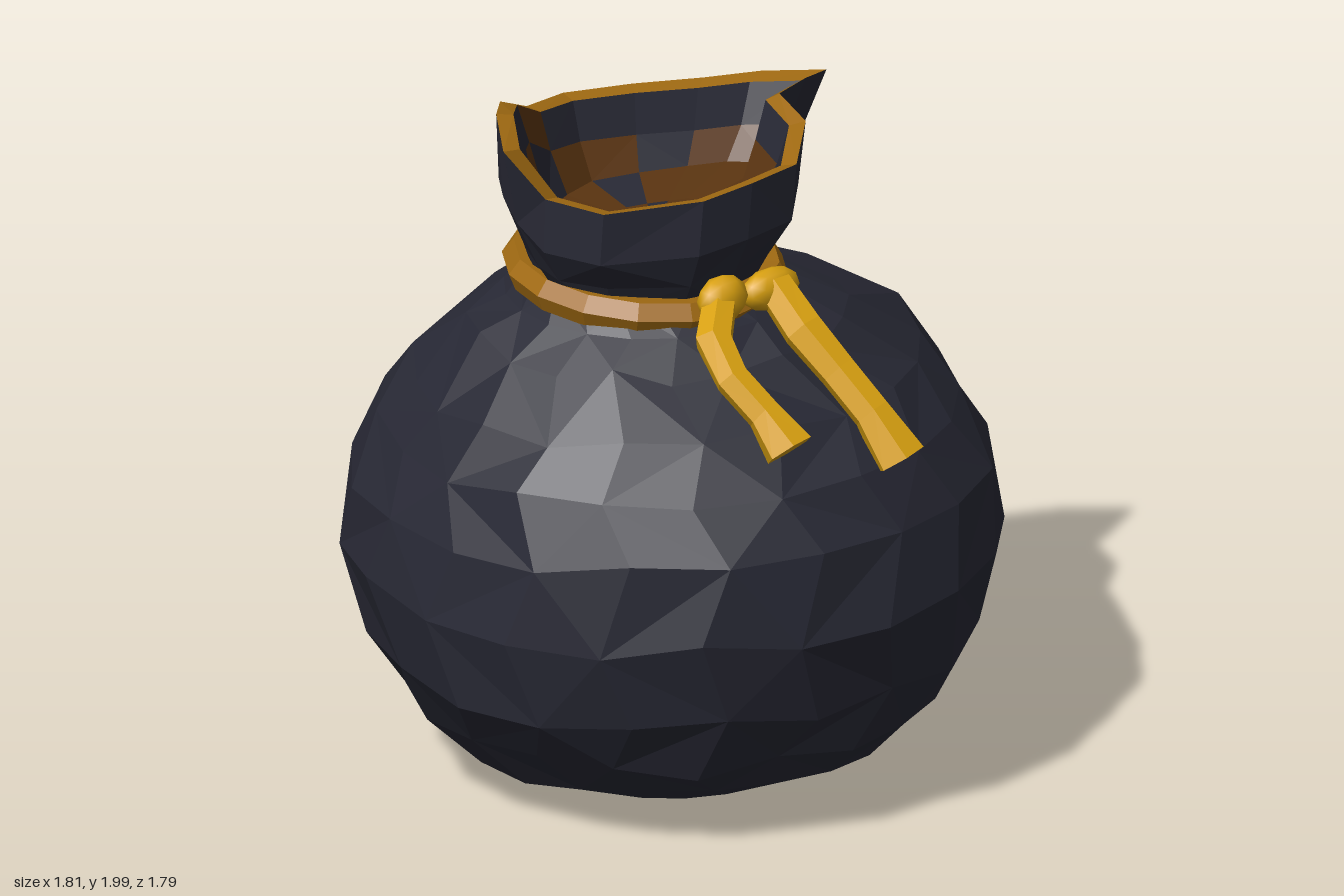
import * as THREE from 'three';

const mat = (name, color) => {
  const m = new THREE.MeshStandardMaterial({ color });
  m.name = name;
  return m;
};

let seed = 7;
const rand = () => (seed = (seed * 16807) % 2147483647) / 2147483647 - 0.5;

// Faceted skin over a list of closed rings; keep(i, j) picks the quads to build
function loft(rings, keep = () => true) {
  const pos = [];
  const n = rings[0].length;
  for (let i = 0; i < rings.length - 1; i++) {
    for (let j = 0; j < n; j++) {
      if (!keep(i, j)) continue;
      const k = (j + 1) % n;
      const a = rings[i][j], b = rings[i][k], c = rings[i + 1][k], d = rings[i + 1][j];
      const tris = (i + j) % 2 ? [a, b, c, a, c, d] : [a, b, d, b, c, d];
      tris.forEach((p) => pos.push(p.x, p.y, p.z));
    }
  }
  const g = new THREE.BufferGeometry();
  g.setAttribute('position', new THREE.Float32BufferAttribute(pos, 3));
  g.computeVertexNormals();
  return g;
}

// Faceted rope along a path, with one radius for each path point
function rope(points, radii, sides = 6) {
  const curve = new THREE.CatmullRomCurve3(points.map((p) => new THREE.Vector3(...p)));
  const steps = points.length - 1;
  const { normals, binormals } = curve.computeFrenetFrames(steps);
  const rings = [];
  const ring = (i, r) => Array.from({ length: sides }, (_, j) => {
    const a = (j / sides) * Math.PI * 2;
    return curve.getPointAt(i / steps)
      .addScaledVector(normals[i], r * Math.cos(a))
      .addScaledVector(binormals[i], r * Math.sin(a));
  });
  rings.push(ring(0, 0.001));
  for (let i = 0; i <= steps; i++) rings.push(ring(i, radii[i]));
  rings.push(ring(steps, 0.001));
  return loft(rings);
}

export function createModel() {
  const group = new THREE.Group();
  const cloth = mat('dark cloth', 0x282935);
  const lining = mat('brown lining', 0x5a3410);
  const trim = mat('dull gold', 0xa06a12);
  const gold = mat('bright gold', 0xd8a010);
  const add = (name, geometry, material) => {
    const mesh = new THREE.Mesh(geometry, material);
    mesh.name = name;
    group.add(mesh);
    return mesh;
  };

  // Round body: y, centre x, centre z, half width, half depth
  const profile = [
    [0.015, 0, 0, 0.001, 0.001], [0.015, 0, 0, 0.18, 0.18], [0.04, 0, 0, 0.38, 0.37],
    [0.13, 0, 0, 0.59, 0.59], [0.26, 0.01, 0, 0.75, 0.72], [0.43, 0, 0, 0.85, 0.82],
    [0.68, 0, 0, 0.915, 0.89], [0.9, 0, -0.005, 0.885, 0.86], [1.06, 0, -0.01, 0.81, 0.77],
    [1.2, 0, -0.02, 0.73, 0.65], [1.34, -0.03, -0.02, 0.54, 0.5],
    [1.42, -0.07, -0.02, 0.4, 0.4], [1.49, -0.08, -0.02, 0.33, 0.32],
  ];
  const sides = 20;
  const body = profile.map(([y, cx, cz, rx, rz], i) =>
    Array.from({ length: sides }, (_, j) => {
      const a = ((j + (i % 2) * 0.3) / sides) * Math.PI * 2;
      const f = 1 + rand() * 0.025;
      const lift = i > 2 && i < 11 ? rand() * 0.05 : 0;
      return new THREE.Vector3(cx + rx * f * Math.sin(a), y + lift, cz + rz * f * Math.cos(a));
    }));
  add('sackBody', loft(body), cloth);

  // Uneven mouth edge, anticlockwise from the front
  const rim = [
    [-0.03, 1.82, 0.36], [0.15, 1.82, 0.34], [0.31, 1.86, 0.2], [0.34, 1.89, 0.06],
    [0.5, 1.87, -0.01], [0.63, 1.84, -0.07], [0.51, 1.83, -0.2], [0.36, 1.83, -0.27],
    [0.17, 1.84, -0.35], [-0.03, 1.85, -0.41], [-0.2, 1.87, -0.37], [-0.36, 1.95, -0.3],
    [-0.51, 2.0, -0.15], [-0.61, 1.96, -0.01], [-0.51, 1.81, 0.05], [-0.45, 1.8, 0.22],
    [-0.2, 1.81, 0.35],
  ].map((p) => new THREE.Vector3(...p));
  const centre = new THREE.Vector3(-0.05, 0, -0.02);
  const neck = rim.map((p) => {
    const a = Math.atan2(p.x - centre.x, p.z - centre.z);
    return new THREE.Vector3(-0.08 + 0.31 * Math.sin(a), 1.46, -0.02 + 0.3 * Math.cos(a));
  });
  const between = (t, bulge) => rim.map((p, j) => {
    const v = neck[j].clone().lerp(p, t);
    const f = bulge + rand() * 0.06;
    v.x = centre.x + (v.x - centre.x) * f;
    v.z = centre.z + (v.z - centre.z) * f;
    return v;
  });
  add('sackMouth', loft([neck, between(0.25, 1.06), between(0.55, 1.12), rim]), cloth);

  // Mouth edge band and the inside of the mouth
  const inset = (f, yOf) => rim.map((p) => new THREE.Vector3(
    centre.x + (p.x - centre.x) * f, yOf(p.y), centre.z + (p.z - centre.z) * f));
  const lip = inset(0.89, (y) => y - 0.01);
  add('mouthEdge', loft([rim, lip]), trim);
  const inside = [lip, inset(0.81, (y) => y - 0.12), inset(0.68, () => 1.63),
    inset(0.3, () => 1.6), inset(0.001, () => 1.6)];
  const isBrown = (i, j) => (i === 0 ? j % 6 === 4 : i === 1 ? j % 3 !== 1 : (j + i) % 5 !== 0);
  add('mouthLining', loft(inside, isBrown), lining);
  add('mouthFolds', loft(inside, (i, j) => !isBrown(i, j)), cloth);

  // Tilted cord around the neck
  const loop = Array.from({ length: 16 }, (_, j) => {
    const a = (j / 16) * Math.PI * 2;
    const x = -0.08 + 0.345 * Math.sin(a), z = -0.02 + 0.335 * Math.cos(a);
    return new THREE.Vector3(x, 1.47 - 0.07 * z - 0.04 * x, z);
  });
  const cord = new THREE.TubeGeometry(
    new THREE.CatmullRomCurve3(loop, true), 16, 0.052, 6, true).toNonIndexed();
  cord.computeVertexNormals();
  add('neckCord', cord, trim);

  // Knot: two lumps
  [[-0.14, 1.51, 0.36, 0.08, 0.068, 0.055], [0.03, 1.495, 0.365, 0.1, 0.06, 0.05]]
    .forEach(([x, y, z, sx, sy, sz]) => {
      const lump = add('knot', new THREE.IcosahedronGeometry(1, 1), gold);
      lump.position.set(x, y, z);
      lump.scale.set(sx, sy, sz);
    });

  // Hanging cord ends, flared at the tips
  add('rightCordEnd', rope(
    [[-0.16, 1.5, 0.37], [-0.25, 1.43, 0.45], [-0.26, 1.34, 0.56], [-0.22, 1.25, 0.66], [-0.21, 1.19, 0.71]],
    [0.05, 0.055, 0.05, 0.05, 0.072]), gold);
  add('leftCordEnd', rope(
    [[0.04, 1.5, 0.37], [0.04, 1.42, 0.47], [0.08, 1.29, 0.61], [0.115, 1.17, 0.73], [0.135, 1.09, 0.78]],
    [0.055, 0.06, 0.055, 0.055, 0.075]), gold);

  return group;
}
